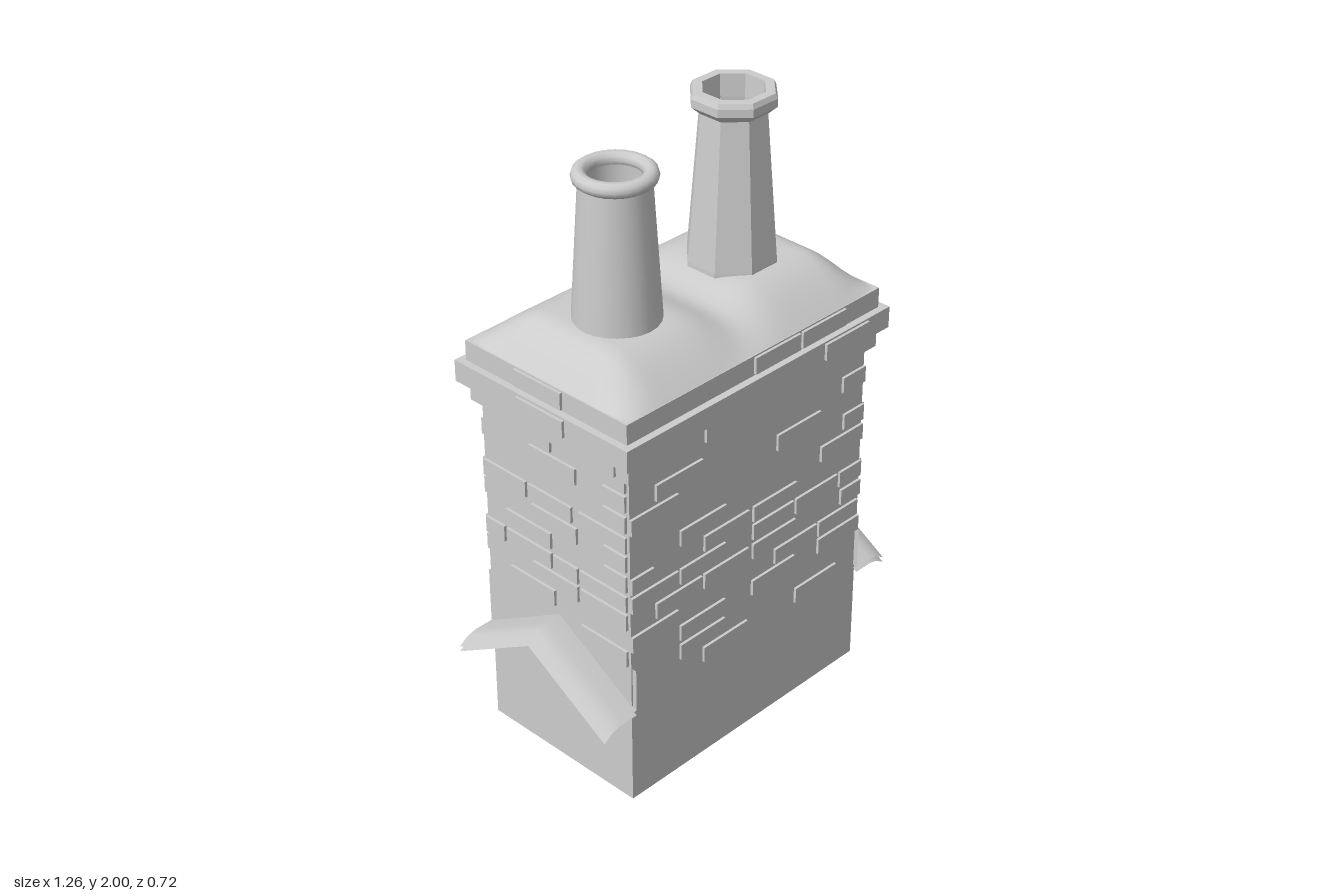
import * as THREE from 'three';

const stone = new THREE.MeshStandardMaterial({ color: 0xcccccc, side: THREE.DoubleSide });
stone.name = 'pale stone';

const ZC = -0.01; // the shaft sits slightly behind the centre

function add(parent, name, geometry, x = 0, y = 0, z = 0) {
  const mesh = new THREE.Mesh(geometry, stone);
  mesh.name = name;
  mesh.position.set(x, y, z);
  parent.add(mesh);
  return mesh;
}

// Box given by its limits
function block(parent, name, x0, x1, y0, y1, z0, z1) {
  return add(parent, name, new THREE.BoxGeometry(x1 - x0, y1 - y0, z1 - z0),
    (x0 + x1) / 2, (y0 + y1) / 2, (z0 + z1) / 2);
}

// Raised bricks per course: [height of centre, start, end, start, end, ...]
const longWall = [
  [1.06, -0.4, -0.21, 0.4, 0.5],
  [0.99, -0.5, -0.31, 0.11, 0.3],
  [0.925, 0.41, 0.5],
  [0.855, -0.3, -0.11, 0.31, 0.5],
  [0.785, -0.5, -0.41, -0.2, -0.01, 0.01, 0.2],
  [0.72, -0.5, -0.31, -0.3, -0.11, 0.01, 0.19, 0.2, 0.39, 0.4, 0.5],
  [0.65, -0.4, -0.21, -0.2, -0.01, 0.01, 0.2, 0.41, 0.5],
  [0.58, -0.5, -0.31, 0.11, 0.3, 0.31, 0.49],
  [0.515, -0.3, -0.11, 0.01, 0.2, 0.31, 0.5],
  [0.445, -0.3, -0.11],
  [0.38, -0.2, -0.01, 0.21, 0.4],
];
const backExtras = [
  [1.06, 0, 0.19],
  [0.99, -0.2, -0.01],
  [0.925, -0.3, -0.11, 0, 0.19],
  [0.855, 0, 0.19],
];
const sideWall = [
  [1.13, 0, 0.19, -0.3, -0.21],
  [1.065, -0.1, 0.09, -0.3, -0.21],
  [0.995, -0.3, -0.21],
  [0.925, 0.11, 0.29, -0.08, 0.1, -0.3, -0.11],
  [0.86, -0.1, 0.09, -0.3, -0.21],
  [0.79, 0.01, 0.2, -0.3, -0.21],
  [0.72, 0.21, 0.29, 0.01, 0.2, -0.1, 0, -0.3, -0.11],
  [0.655, -0.1, 0.09, -0.3, -0.11],
  [0.59, 0, 0.19],
  [0.525, -0.3, -0.11],
];

// Bricks standing proud of one wall; local +z points away from the wall
function brickWall(parent, name, rows, x, z, turn) {
  const wall = new THREE.Group();
  wall.name = name;
  wall.position.set(x, 0, z);
  wall.rotation.y = turn;
  for (const [y, ...ends] of rows) {
    for (let i = 0; i < ends.length; i += 2) {
      block(wall, 'brick', ends[i], ends[i + 1], y - 0.027, y + 0.027, -0.01, 0.009);
    }
  }
  parent.add(wall);
}

// Mortar mound that rises from its edges, with a dip between the pots
function mortarCap() {
  const w = 1.05, d = 0.65;
  const g = new THREE.PlaneGeometry(w, d, 42, 26).rotateX(-Math.PI / 2);
  const rise = (t) => Math.sin(Math.min(t, 1) * Math.PI / 2);
  const p = g.attributes.position;
  for (let i = 0; i < p.count; i++) {
    const x = p.getX(i), z = p.getZ(i);
    const edge = rise((w / 2 - Math.abs(x)) / 0.14) * rise((d / 2 - Math.abs(z)) / 0.2);
    const dip = 0.36 * Math.exp(-((x / 0.09) ** 2));
    p.setY(i, 0.11 * edge * (1 - dip));
  }
  g.computeVertexNormals();
  return g;
}

// Sheet running over a ridge, from cross-sections [x, drop]
function flashingSheet() {
  const sections = [[0.495, 0], [0.56, 0], [0.595, 0.008], [0.628, 0.03]];
  const ridge = [[0.305, 0.345], [ZC, 0.535], [-0.325, 0.345]];
  const pos = [], index = [];
  for (let s = 0; s < 2; s++) { // two slopes with a crisp ridge
    for (const [x, drop] of sections) {
      for (const [z, y] of [ridge[s], ridge[s + 1]]) pos.push(x, y - drop, z);
    }
    for (let i = 0; i < sections.length - 1; i++) {
      const a = s * 8 + i * 2;
      index.push(a, a + 2, a + 1, a + 1, a + 2, a + 3);
    }
  }
  const g = new THREE.BufferGeometry();
  g.setAttribute('position', new THREE.Float32BufferAttribute(pos, 3));
  g.setIndex(index);
  g.computeVertexNormals();
  return g;
}

function lathe(points, sides, start = 0) {
  return new THREE.LatheGeometry(points.map(([r, y]) => new THREE.Vector2(r, y)), sides, start);
}

export function createModel() {
  const model = new THREE.Group();
  model.name = 'chimney';

  // Shaft, open underneath
  const shaft = new THREE.BoxGeometry(1, 1.18, 0.6);
  shaft.setIndex([...shaft.index.array].filter((_, i) => i < 18 || i >= 24));
  add(model, 'shaft', shaft, 0, 0.59, ZC);

  // Raised bricks on the four walls
  brickWall(model, 'frontBricks', longWall, 0, 0.29, 0);
  brickWall(model, 'backBricks', [...longWall, ...backExtras], 0, -0.31, Math.PI);
  // on the +x wall local x runs towards -z
  const flipped = sideWall.map(([y, ...e]) => [y, ...e.map((v) => -v).reverse()]);
  brickWall(model, 'leftBricks', flipped, 0.5, 0, Math.PI / 2);
  brickWall(model, 'rightBricks', flipped, -0.5, ZC * 2, -Math.PI / 2);

  // Stepped brick courses at the top
  block(model, 'lowerCourse', -0.53, 0.515, 1.16, 1.23, -0.325, 0.32);
  block(model, 'middleCourse', -0.56, 0.54, 1.225, 1.295, -0.352, 0.345);
  block(model, 'upperCourse', -0.537, 0.515, 1.29, 1.36, -0.328, 0.322);

  // Bricks proud of those courses
  brickWall(model, 'lowerCourseFront', [[1.19, -0.23, -0.04]], 0, 0.32, 0);
  brickWall(model, 'middleCourseFront', [[1.262, 0.25, 0.44]], 0, 0.345, 0);
  brickWall(model, 'upperCourseFront', [[1.328, -0.03, 0.16, 0.17, 0.36]], 0, 0.322, 0);
  brickWall(model, 'middleCourseBack', [[1.262, 0.07, 0.26]], 0, -0.352, Math.PI);
  brickWall(model, 'upperCourseBack', [[1.328, -0.4, -0.21]], 0, -0.328, Math.PI);
  for (const [s, lo, mid, up] of [[1, 0.515, 0.54, 0.515], [-1, -0.53, -0.56, -0.537]]) {
    const turn = s * Math.PI / 2;
    brickWall(model, 'lowerCourseSide', [[1.195, 0.08, 0.27]], lo, 0, turn);
    brickWall(model, 'middleCourseSide', [[1.26, -0.09, 0.1]], mid, 0, turn);
    brickWall(model, 'upperCourseSide', [[1.328, -0.12, 0.07]], up, 0, turn);
  }

  add(model, 'mortarCap', mortarCap(), -0.01, 1.358, -0.003);

  // Round pot: tapered wall, rolled rim and hollow inside
  const round = new THREE.Group();
  round.name = 'roundPot';
  round.position.set(-0.268, 0, 0.017);
  add(round, 'potWall', lathe([[0.13, 1.42], [0.13, 1.47], [0.103, 1.9]], 24));
  add(round, 'potInside', lathe([[0.08, 1.91], [0.1, 1.44], [0, 1.44]], 24));
  add(round, 'potRim', new THREE.TorusGeometry(0.1, 0.023, 10, 24).rotateX(Math.PI / 2), 0, 1.908);
  model.add(round);

  // Octagonal pot: flat-sided wall with a chamfered collar
  const eight = lathe([
    [0.141, 1.42], [0.141, 1.47], [0.104, 1.935], [0.132, 1.96], [0.132, 1.985],
    [0.125, 2], [0.096, 2], [0.092, 1.93], [0.11, 1.44], [0, 1.44],
  ], 8, Math.PI / 8).toNonIndexed();
  eight.computeVertexNormals();
  add(model, 'octagonalPot', eight, 0.221, 0, 0);

  // Roof flashing on both narrow walls, with an upstand against the wall
  const upstand = new THREE.Shape([
    [-0.305, 0.345], [0.01, 0.53], [0.325, 0.345], [0.325, 0.49], [-0.305, 0.49],
  ].map(([x, y]) => new THREE.Vector2(x, y)));
  for (const s of [1, -1]) {
    const sheet = flashingSheet();
    const plate = new THREE.ShapeGeometry(upstand).rotateY(Math.PI / 2).translate(0.495, 0, 0);
    const side = new THREE.Group();
    side.name = s > 0 ? 'leftFlashing' : 'rightFlashing';
    add(side, 'flashingSheet', sheet);
    add(side, 'flashingEdge', sheet.clone(), 0, -0.018, 0); // underside of the sheet
    add(side, 'flashingUpstand', plate);
    side.scale.x = s;
    model.add(side);
  }
  return model;
}
